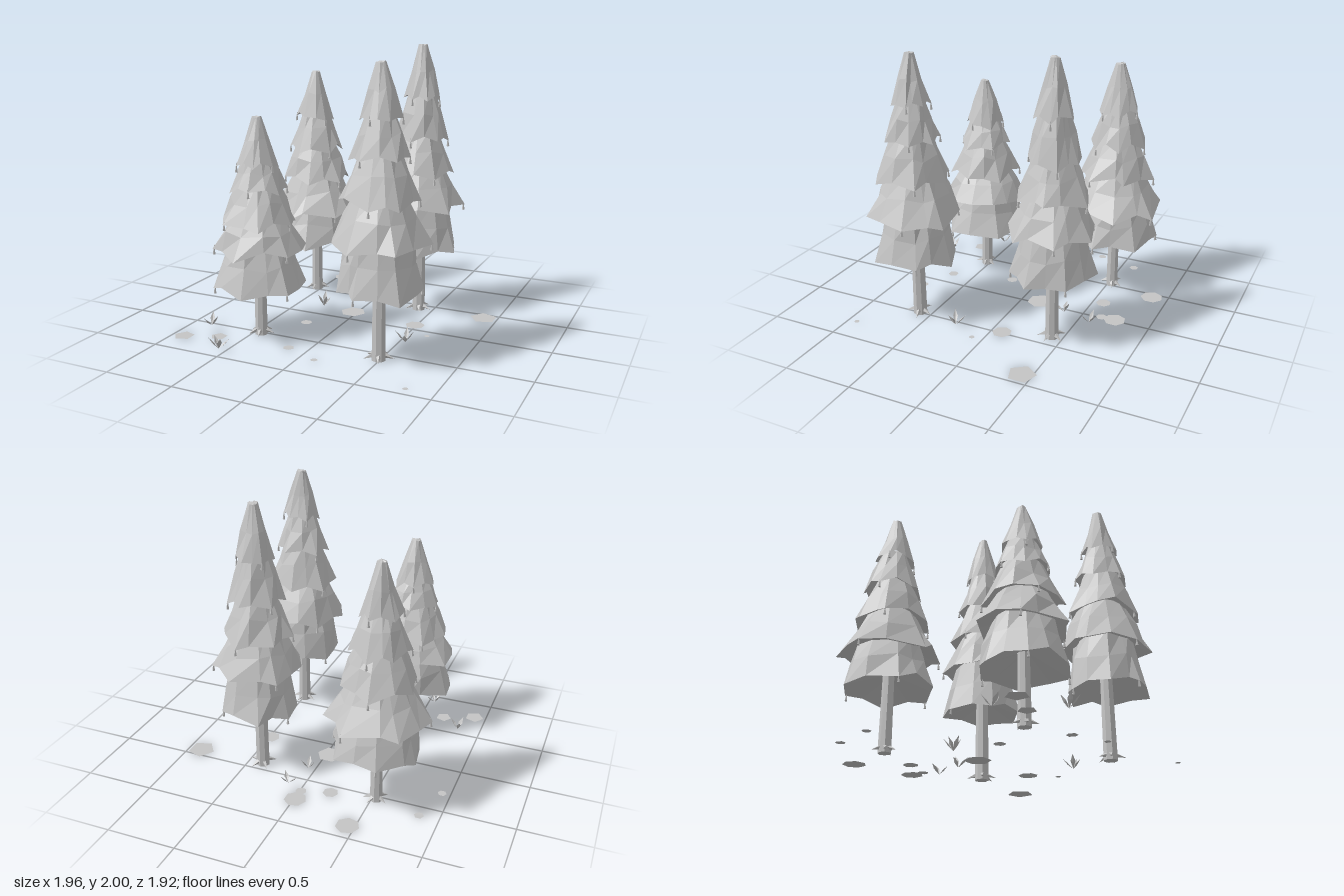
import * as THREE from 'three';

const grey = new THREE.MeshStandardMaterial({ color: 0xc4c4c4, flatShading: true });
const greyLeaf = grey.clone();
greyLeaf.side = THREE.DoubleSide;
grey.name = 'grey';
greyLeaf.name = 'greyLeaf';

// Seeded random numbers, -1 to 1
let seed = 7;
const rnd = () => {
  seed = (seed * 16807) % 2147483647;
  return (seed / 2147483647) * 2 - 1;
};

// Faceted skin over a stack of closed rings, each an array of Vector3
function loft(rings) {
  const pos = [];
  const n = rings[0].length;
  const tri = (...pts) => pts.forEach((p) => pos.push(p.x, p.y, p.z));
  for (let k = 0; k < rings.length - 1; k++) {
    for (let i = 0; i < n; i++) {
      const j = (i + 1) % n;
      const lo = rings[k], up = rings[k + 1];
      tri(lo[i], up[i], lo[j]);
      tri(lo[j], up[i], up[j]);
    }
  }
  const g = new THREE.BufferGeometry();
  g.setAttribute('position', new THREE.Float32BufferAttribute(pos, 3));
  g.computeVertexNormals();
  return g;
}

function add(parent, name, geometry, material = grey) {
  const m = new THREE.Mesh(geometry, material);
  m.name = name;
  parent.add(m);
  return m;
}

// Thin cone running from one point to another
function spike(parent, name, from, to, radius) {
  const dir = to.clone().sub(from);
  const m = add(parent, name, new THREE.ConeGeometry(radius, dir.length(), 4));
  m.position.copy(from).addScaledVector(dir, 0.5);
  m.quaternion.setFromUnitVectors(new THREE.Vector3(0, 1, 0), dir.normalize());
}

const polar = (a, r, y) => new THREE.Vector3(Math.cos(a) * r, y, Math.sin(a) * r);

// One skirt of branches: hollow underside, jagged hem, narrower top
function makeTier(parent, y, r, yTop, rTop, isTop) {
  const n = 12;
  const inner = [], hem = [], mid = [], top = [], tip = [];
  const turn = rnd() * 3;
  for (let i = 0; i < n; i++) {
    const a = turn + ((i + rnd() * 0.3) / n) * Math.PI * 2;
    const out = i % 2 === 0;
    // Long corners reach out and hang lower than short ones
    const rHem = r * ((out ? 1.05 : 0.95) + rnd() * 0.07);
    const yHem = y + (out ? -0.015 : 0.015) + rnd() * 0.02;
    inner.push(polar(a, 0.04, y + 0.1));
    hem.push(polar(a, rHem, yHem));
    mid.push(polar(a, r * 0.5 + rTop * 0.5 + rnd() * 0.01, (y + yTop) / 2 + rnd() * 0.02));
    top.push(polar(a, rTop * (1 + rnd() * 0.08), yTop - Math.abs(rnd()) * 0.012));
    tip.push(new THREE.Vector3(0, yTop + (isTop ? 0 : 0.04), 0));
    // Drooping twig at some of the long corners
    if (i % 4 === 0) {
      spike(parent, 'twig', polar(a, rHem * 0.97, yHem - 0.04), polar(a, rHem * 0.96, yHem + 0.03), 0.011);
    }
  }
  add(parent, 'branchTier', loft([inner, hem, mid, top, tip]));
}

function makeTree({ x, z, height, trunk, tiers }) {
  const tree = new THREE.Group();
  tree.name = 'pineTree';
  tree.position.set(x, 0, z);

  // Trunk, slightly tapered, with low pointed roots
  const trunkTop = tiers[1][0];
  const t = add(tree, 'trunk', new THREE.CylinderGeometry(trunk * 0.85, trunk, trunkTop, 8));
  t.position.y = trunkTop / 2;
  for (let i = 0; i < 5; i++) {
    const a = (i / 5) * Math.PI * 2 + rnd() * 0.3;
    spike(tree, 'root', polar(a, trunk * 0.75, 0.035), polar(a, trunk * 2.1, 0.012), 0.018);
  }

  // Branch tiers, each tucked under the next
  tiers.forEach(([y, r], i) => {
    const next = tiers[i + 1];
    if (next) makeTier(tree, y, r, next[0] + 0.06, next[1] * 0.66, false);
    else makeTier(tree, y, r, height, 0.032, true);
  });
  return tree;
}

// Tuft of folded pointed leaves fanning out over part of a circle
function makeTuft(x, z, count, turn) {
  const tuft = new THREE.Group();
  tuft.name = 'grassTuft';
  tuft.position.set(x, 0, z);
  for (let i = 0; i < count; i++) {
    const len = 0.065 + rnd() * 0.015;
    const h = 0.09 + rnd() * 0.02;
    const g = new THREE.BufferGeometry();
    g.setAttribute('position', new THREE.Float32BufferAttribute([
      0, 0.01, 0, len * 0.5, h * 0.6, 0.017, len * 0.55, h * 0.5, 0, len, h, 0, len * 0.5, h * 0.6, -0.017,
    ], 3));
    g.setIndex([0, 1, 2, 1, 3, 2, 0, 2, 4, 2, 3, 4]);
    const flat = g.toNonIndexed();
    flat.computeVertexNormals();
    add(tuft, 'grassBlade', flat, greyLeaf).rotation.y = turn + (i / count) * Math.PI * 2 + rnd() * 0.3;
  }
  return tuft;
}

export function createModel() {
  const model = new THREE.Group();
  model.name = 'pineGrove';

  // Trees: each tier is [hem height, hem radius]
  const trees = [
    { x: -0.53, z: -0.53, height: 1.77, trunk: 0.045,
      tiers: [[0.44, 0.32], [0.68, 0.34], [0.94, 0.26], [1.18, 0.2], [1.42, 0.14]] },
    { x: 0.39, z: -0.42, height: 2.0, trunk: 0.05,
      tiers: [[0.5, 0.28], [0.82, 0.3], [1.07, 0.24], [1.33, 0.185], [1.62, 0.13]] },
    { x: -0.44, z: 0.52, height: 1.55, trunk: 0.045,
      tiers: [[0.38, 0.31], [0.64, 0.31], [0.83, 0.25], [1.06, 0.19], [1.22, 0.14]] },
    { x: 0.49, z: 0.59, height: 1.95, trunk: 0.05,
      tiers: [[0.49, 0.28], [0.81, 0.32], [1.08, 0.25], [1.35, 0.19], [1.6, 0.13]] },
  ];
  trees.forEach((t) => model.add(makeTree(t)));

  // Flat stones: x, z, radius, sides
  const stones = [
    [-0.45, -0.88, 0.083, 7], [-0.01, -0.74, 0.08, 7], [-0.01, -0.64, 0.04, 7], [-0.03, -0.14, 0.095, 6],
    [0.9, -0.43, 0.1, 5], [0.49, -0.08, 0.07, 7], [0.64, 0.08, 0.02, 7], [-0.94, -0.3, 0.032, 6],
    [-0.86, -0.6, 0.035, 6], [-0.21, -0.58, 0.055, 7], [-0.25, 0.2, 0.042, 7], [-0.91, 0.79, 0.073, 5],
    [0.11, 0.78, 0.025, 6], [0.81, 0.93, 0.02, 6], [-0.14, 0.67, 0.04, 6], [-0.68, 0.7, 0.06, 5],
  ];
  stones.forEach(([x, z, r, sides]) => {
    const disc = new THREE.CircleGeometry(r, sides, Math.PI).rotateX(-Math.PI / 2);
    add(model, 'flatStone', disc, greyLeaf).position.set(x, 0.003, z);
  });

  // Grass tufts: x, z, blades, turn
  const tufts = [
    [-0.28, -0.15, 5, 0.4], [0.05, -0.37, 3, 0.8], [0.11, -0.59, 3, 1], [-0.83, 0.56, 3, 0.1],
    [-0.55, 0.9, 4, 0.8], [0.55, 0.26, 4, 0.3],
  ];
  tufts.forEach((t) => model.add(makeTuft(...t)));
  return model;
}
